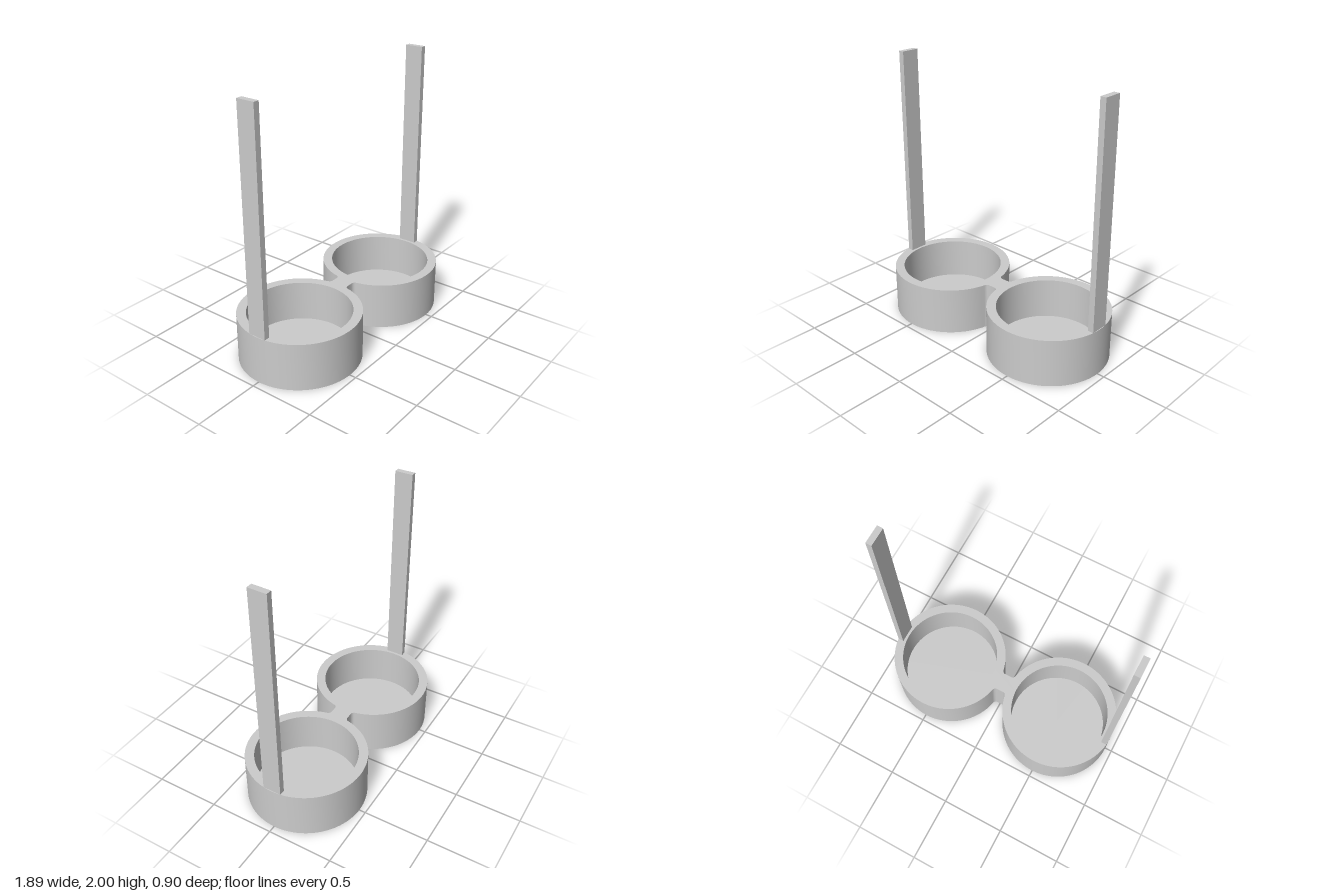
import * as THREE from 'three';
import { toCreasedNormals } from 'three/addons/utils/BufferGeometryUtils.js';

const CENTER = 0.495;  // ring centre, distance from the middle
const OUTER = 0.45;    // ring outer radius
const INNER = 0.381;   // ring inner radius
const HEIGHT = 0.363;  // depth of the rings
const HALF = 0.07;     // half width of bridge and arms
const FILLET = 0.03;   // rounding between bridge and rings

// Points along an arc, leaving out the end so that arcs chain cleanly
function arc(cx, cy, r, from, to, n) {
  return Array.from({ length: n }, (_, i) => {
    const a = from + (to - from) * i / n;
    return new THREE.Vector2(cx + r * Math.cos(a), cy + r * Math.sin(a));
  });
}

// Two rings joined by a filleted bridge, as one outline with two holes
function frameGeometry() {
  const PI = Math.PI;
  const fy = HALF + FILLET;
  const a = Math.asin(fy / (OUTER + FILLET));
  const fx = CENTER - (OUTER + FILLET) * Math.cos(a);
  const shape = new THREE.Shape([
    ...arc(CENTER, 0, OUTER, a - PI, PI - a, 96),
    ...arc(fx, fy, FILLET, -a, -PI / 2, 8),
    ...arc(-fx, fy, FILLET, -PI / 2, a - PI, 8),
    ...arc(-CENTER, 0, OUTER, a, 2 * PI - a, 96),
    ...arc(-fx, -fy, FILLET, PI - a, PI / 2, 8),
    ...arc(fx, -fy, FILLET, PI / 2, a, 8),
  ]);
  for (const s of [-1, 1]) {
    shape.holes.push(new THREE.Path(arc(s * CENTER, 0, INNER, 0, 2 * PI, 96)));
  }
  const geo = new THREE.ExtrudeGeometry(shape, { depth: HEIGHT, bevelEnabled: false });
  geo.rotateX(-PI / 2);
  return toCreasedNormals(geo, 0.6);
}

export function createModel() {
  const group = new THREE.Group();
  const material = new THREE.MeshStandardMaterial({ color: 0xcccccc });
  const add = (name, geometry, x = 0, y = 0) => {
    const mesh = new THREE.Mesh(geometry, material);
    mesh.name = name;
    mesh.position.set(x, y, 0);
    group.add(mesh);
  };

  add('frame', frameGeometry());

  // Thin lens set just inside the lower rim, and an upright arm at the outer edge
  const lens = new THREE.CylinderGeometry(INNER, INNER, 0.014, 96);
  const armTop = 2;
  const arm = new THREE.BoxGeometry(0.0445, armTop - HEIGHT, 2 * HALF);
  for (const [side, s] of [['left', 1], ['right', -1]]) {
    add(side + 'Lens', lens, s * CENTER, 0.043);
    add(side + 'Arm', arm, s * 0.917, (armTop + HEIGHT) / 2);
  }
  return group;
}
